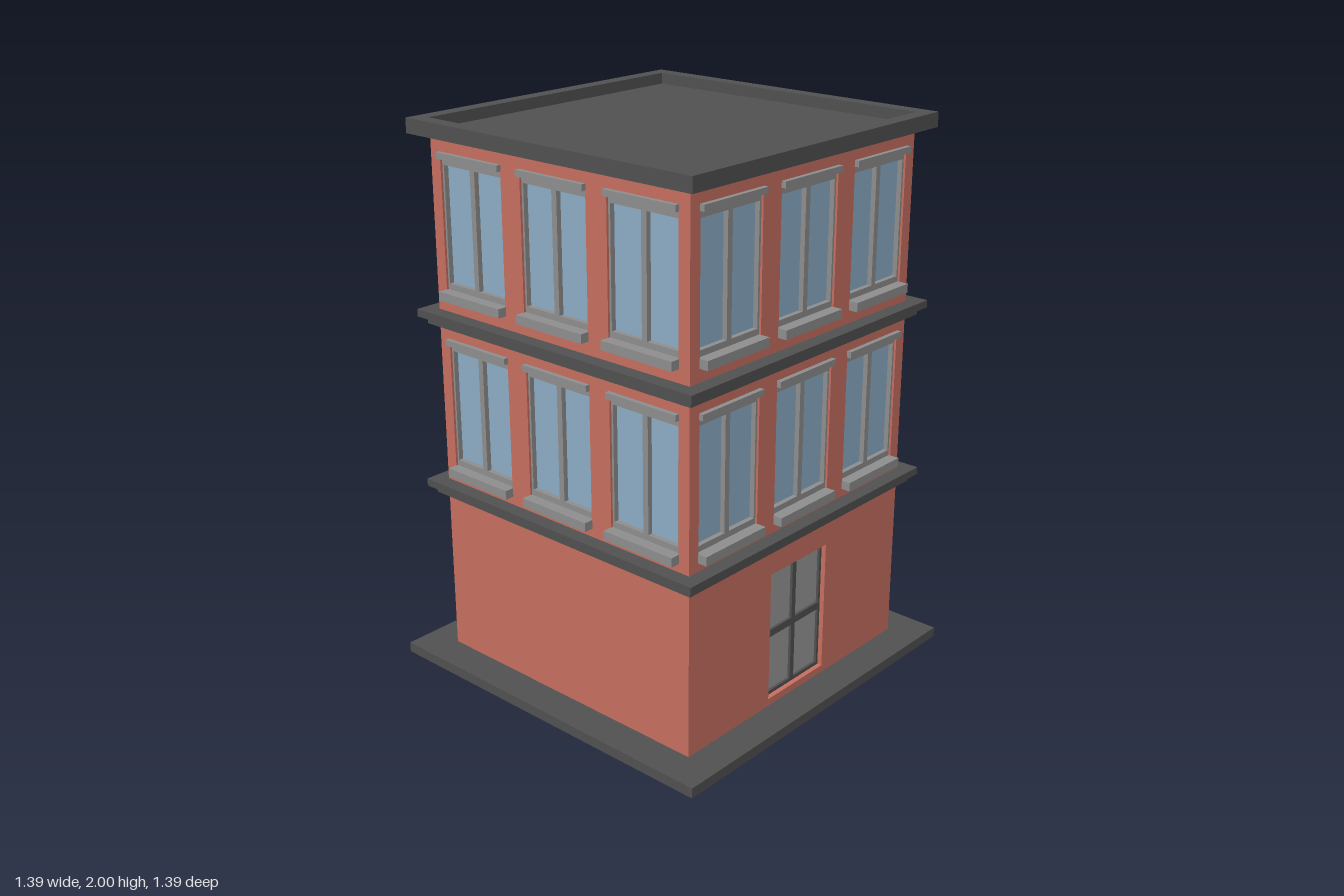
import * as THREE from 'three';

const paint = (color) => new THREE.MeshStandardMaterial({ color });
const brick = paint(0xc97161);
const dark = paint(0x525252);
const stone = paint(0x909090);
const doorGrey = paint(0x999999);
const glass = paint(0x8fb0c9);

const HALF = 0.572; // half width of the walls
const THICK = 0.04; // wall thickness
const BASE = 0.037; // top of the ground slab
const ROOF = 1.955; // roof deck level

// Box given by its limits on each axis
function box(name, mat, [x0, x1], [y0, y1], [z0, z1]) {
  const mesh = new THREE.Mesh(new THREE.BoxGeometry(x1 - x0, y1 - y0, z1 - z0), mat);
  mesh.position.set((x0 + x1) / 2, (y0 + y1) / 2, (z0 + z1) / 2);
  mesh.name = name;
  return mesh;
}

function rectPath(path, x0, x1, y0, y1) {
  path.moveTo(x0, y0);
  path.lineTo(x1, y0);
  path.lineTo(x1, y1);
  path.lineTo(x0, y1);
  path.closePath();
  return path;
}

// Flat plate in the xy plane with rectangular holes, from z0 to z1
function plate(name, mat, rect, holes, z0, z1) {
  const shape = rectPath(new THREE.Shape(), ...rect);
  for (const h of holes) shape.holes.push(rectPath(new THREE.Path(), ...h));
  const geo = new THREE.ExtrudeGeometry(shape, { depth: z1 - z0, bevelEnabled: false });
  geo.translate(0, 0, z0);
  const mesh = new THREE.Mesh(geo, mat);
  mesh.name = name;
  return mesh;
}

// Double window with sill and lintel; y is the sill's underside
function makeWindow(x, y) {
  const g = new THREE.Group();
  g.name = 'window';
  const panes = [[-0.138, -0.011], [0.011, 0.138]].map(([a, b]) => [a, b, 0.053, 0.462]);
  g.add(plate('windowFrame', stone, [-0.146, 0.146, 0.01, 0.482], panes, HALF - 0.032, HALF - 0.008));
  g.add(box('windowGlass', glass, [-0.142, 0.142], [0.03, 0.47], [HALF - 0.036, HALF - 0.026]));
  g.add(box('windowSill', stone, [-0.148, 0.148], [0, 0.032], [HALF - 0.03, 0.606]));
  g.add(box('windowLintel', stone, [-0.148, 0.148], [0.486, 0.508], [HALF - 0.01, 0.589]));
  g.position.set(x, y, 0);
  return g;
}

// Four-pane door set back in its opening
function makeDoor() {
  const g = new THREE.Group();
  g.name = 'door';
  const panes = [];
  for (const [a, b] of [[-0.143, -0.01], [0.01, 0.143]])
    for (const [c, d] of [[0.077, 0.291], [0.318, 0.536]]) panes.push([a, b, c, d]);
  g.add(plate('doorFrame', dark, [-0.153, 0.153, 0.064, 0.546], panes, HALF - 0.036, HALF - 0.018));
  g.add(box('doorPanel', doorGrey, [-0.15, 0.15], [0.067, 0.543], [HALF - 0.038, HALF - 0.028]));
  return g;
}

// One wall; each end butts against the next wall around the building
function makeFacade(hasDoor) {
  const g = new THREE.Group();
  g.name = 'facade';
  const holes = [];
  for (const y of [0.732, 1.385])
    for (const x of [-0.381, 0, 0.381]) {
      holes.push([x - 0.146, x + 0.146, y + 0.01, y + 0.482]);
      g.add(makeWindow(x, y));
    }
  if (hasDoor) {
    holes.push([-0.153, 0.153, 0.064, 0.546]);
    g.add(makeDoor());
  }
  g.add(plate('wall', brick, [-HALF, HALF - THICK, BASE, ROOF], holes, HALF - THICK, HALF));
  return g;
}

// Square ring around the building
function ring(name, mat, outer, inner, y0, y1) {
  const mesh = plate(name, mat, [-outer, outer, -outer, outer], [[-inner, inner, -inner, inner]], y0, y1);
  mesh.geometry.rotateX(-Math.PI / 2);
  return mesh;
}

export function createModel() {
  const model = new THREE.Group();
  model.name = 'building';

  // Ground slab with a brick-coloured underside
  const sides = [dark, dark, dark, brick, dark, dark];
  model.add(box('groundSlab', sides, [-0.697, 0.697], [0, BASE], [-0.697, 0.697]));

  // Four walls, with the door on the +x side
  for (let i = 0; i < 4; i++) {
    const facade = makeFacade(i === 1);
    facade.rotation.y = (i * Math.PI) / 2;
    model.add(facade);
  }

  // Stepped cornices between floors
  for (const y of [0.65, 1.287]) {
    model.add(ring('corniceLower', dark, 0.602, HALF - 0.01, y, y + 0.025));
    model.add(ring('corniceUpper', dark, 0.626, HALF - 0.01, y + 0.025, y + 0.052));
  }

  // Roof deck and raised rim
  model.add(box('roofDeck', dark, [-0.575, 0.575], [1.945, 1.96], [-0.575, 0.575]));
  model.add(ring('roofRim', dark, 0.627, 0.573, 1.948, 2));
  return model;
}
